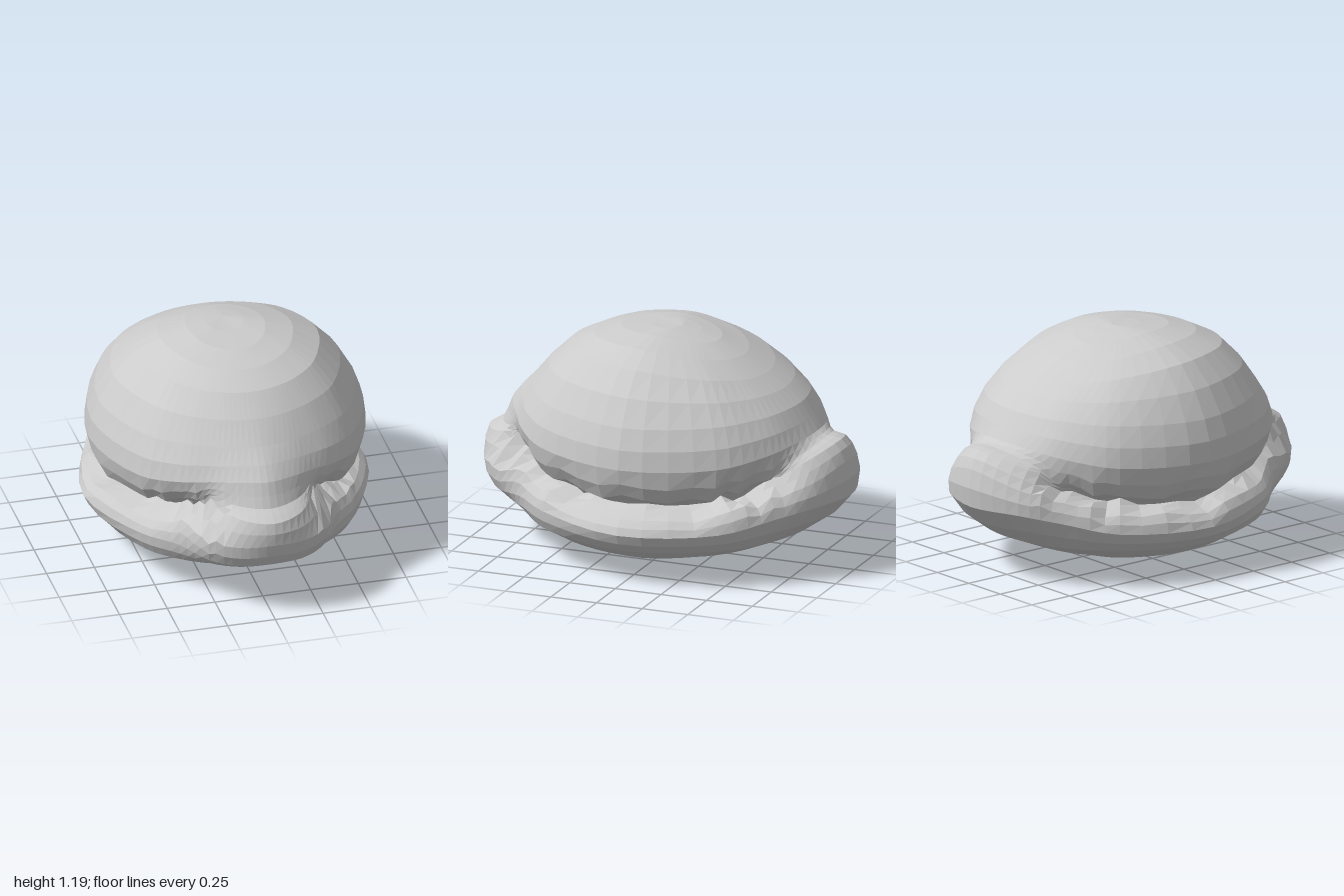
import * as THREE from 'three';

const AROUND = 72, PER_STEP = 2;

// The groove between hull and dome, by compass angle in degrees from the front:
// [angle, lip edge radius, height, lip top radius, height, groove radius, height]
const grooveStations = [
  [0, 0.95, 0.3, 0.998, 0.43, 0.985, 0.55],
  [10, 0.93, 0.29, 0.975, 0.42, 0.93, 0.56],
  [20, 0.87, 0.29, 0.91, 0.42, 0.78, 0.58],
  [32, 0.78, 0.31, 0.75, 0.42, 0.64, 0.49],
  [50, 0.74, 0.3, 0.7, 0.39, 0.57, 0.43],
  [90, 0.74, 0.28, 0.69, 0.36, 0.58, 0.4],
  [130, 0.78, 0.3, 0.74, 0.38, 0.6, 0.42],
  [150, 0.85, 0.36, 0.82, 0.46, 0.7, 0.49],
  [163, 0.94, 0.4, 0.93, 0.53, 0.86, 0.62],
  [180, 0.983, 0.4, 0.983, 0.6, 0.93, 0.69],
];

// Small seeded noise in the range -0.5 to 0.5
function makeNoise(seed) {
  return () => {
    seed = (seed * 16807) % 2147483647;
    return seed / 2147483647 - 0.5;
  };
}

// Half profile [radius, height] from keel to crown at one station
function halfProfile([angle, lipR, lipY, topR, topY, grooveR, grooveY]) {
  const a = THREE.MathUtils.degToRad(angle);
  const c = Math.cos(a), c2 = c * c;
  const oval = (halfWidth, halfLength) =>
    1 / Math.hypot(Math.sin(a) / halfWidth, c / halfLength);
  const ridge = Math.max(0, 1 - angle / 20); // bridge joining the snout to the dome
  const wideR = oval(0.715, 0.8) + 0.055 * ridge, wideY = 0.62 + 0.1 * c2 * c2;
  return [
    [0.2, 0.014], // keel
    [0.4, 0.06 - 0.015 * c], // belly
    [oval(0.66, 0.76), 0.175 + 0.03 * c2], // low hull
    [lipR, lipY],
    [topR, topY],
    [grooveR, grooveY],
    [THREE.MathUtils.lerp(grooveR, wideR, 0.6), THREE.MathUtils.lerp(grooveY, wideY, 0.27)], // dome base
    [wideR, wideY], // dome at its widest
    [oval(0.665, 0.71) + 0.02 * ridge, 0.83 + 0.03 * c2], // upper dome
    [oval(0.48, 0.53), 1.08 - 0.045 * c2 + 0.035 * c], // shoulder
    [oval(0.2, 0.265), 1.18 - 0.025 * c2 + 0.015 * c], // crown
  ].map(([r, y]) => new THREE.Vector3(r * Math.sin(a), y, r * c));
}

function bodyGeometry() {
  // Closed curves round the body, each through one landmark of every profile
  const left = grooveStations.map(halfProfile);
  const right = left.slice(1, -1).reverse().map((profile) =>
    profile.map((p) => new THREE.Vector3(-p.x, p.y, p.z)));
  const stations = [...left, ...right];
  const curves = left[0].map((_, row) =>
    new THREE.CatmullRomCurve3(stations.map((profile) => profile[row]), true));

  const steps = (curves.length + 1) * PER_STEP;
  const noise = makeNoise(17);
  const positions = [], index = [];
  for (let i = 0; i < AROUND; i++) {
    const t = i / AROUND;
    const ring = curves.map((curve) => curve.getPoint(t));
    // Ragged lip top, groove and dome base along the open sides
    const rough = Math.abs(Math.sin(t * Math.PI * 2)) > 0.5 ? 0.05 : 0;
    for (const p of ring.slice(4, 7)) p.y += noise() * rough;
    // Meridian from the bottom of the keel to the top of the dome
    const meridian = new THREE.CatmullRomCurve3([
      new THREE.Vector3(0, 0.002, 0.04), ...ring, new THREE.Vector3(0, 1.19, -0.06),
    ]);
    for (let j = 0; j <= steps; j++) positions.push(...meridian.getPoint(j / steps).toArray());

    // Skin to the next meridian, single triangles at the poles
    const a = i * (steps + 1), b = ((i + 1) % AROUND) * (steps + 1);
    for (let j = 0; j < steps; j++) {
      if (j > 0) index.push(a + j, b + j, b + j + 1);
      if (j < steps - 1) index.push(a + j, b + j + 1, a + j + 1);
    }
  }

  const geometry = new THREE.BufferGeometry();
  geometry.setAttribute('position', new THREE.Float32BufferAttribute(positions, 3));
  geometry.setIndex(index);
  geometry.computeVertexNormals();
  return geometry;
}

export function createModel() {
  const model = new THREE.Group();
  model.name = 'groovedShell';
  const material = new THREE.MeshStandardMaterial({ color: 0xcccccc, flatShading: true });
  const body = new THREE.Mesh(bodyGeometry(), material);
  body.name = 'domeAndHull';
  model.add(body);
  return model;
}
